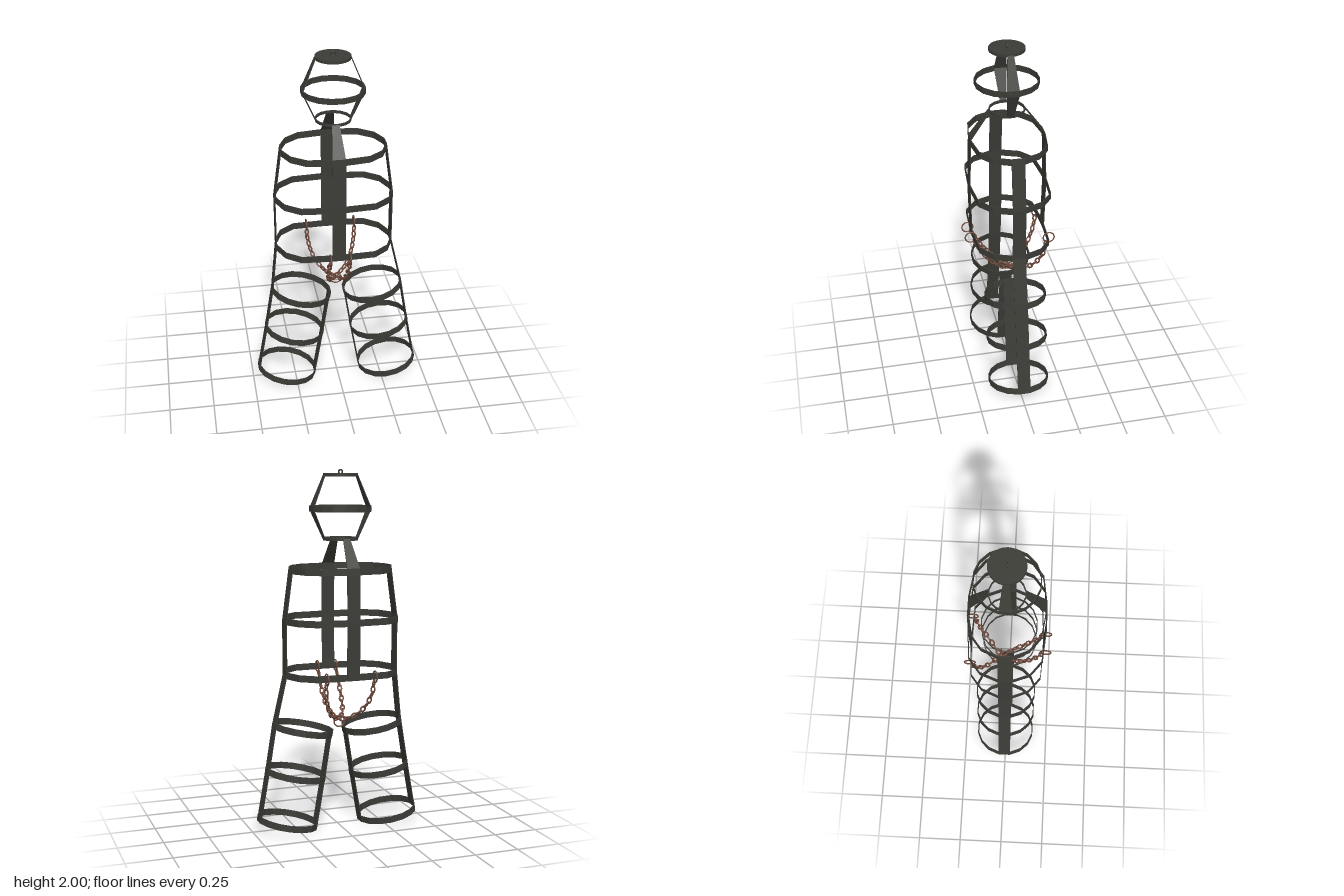
import * as THREE from 'three';
import { mergeGeometries } from 'three/addons/utils/BufferGeometryUtils.js';

const T = 0.005; // thickness of the iron bands
const CX = -0.018; // head and torso sit slightly to the right
const TILT = 0.173; // splay of the legs

const iron = new THREE.MeshStandardMaterial({ color: 0x3b3c36 });
iron.name = 'dark iron';
const rust = new THREE.MeshStandardMaterial({ color: 0x704a3c });
rust.name = 'rusty chain';

function add(parent, name, geometry, material = iron) {
  const mesh = new THREE.Mesh(geometry, material);
  mesh.name = name;
  parent.add(mesh);
  return mesh;
}

// 16-sided hoop from one quadrant of [x, z] corners
function hoop(quad, height) {
  const back = [...quad].reverse();
  const pts = [
    ...quad,
    ...back.map(([x, z]) => [-x, z]),
    ...quad.map(([x, z]) => [-x, -z]),
    ...back.map(([x, z]) => [x, -z]),
  ].map(([x, z]) => new THREE.Vector2(x, z));
  const shape = new THREE.Shape(pts);
  shape.holes.push(new THREE.Path(pts.map((p) => p.clone().multiplyScalar(1 - T / p.length()))));
  const g = new THREE.ExtrudeGeometry(shape, { depth: height, bevelEnabled: false });
  return g.translate(0, 0, -height / 2).rotateX(Math.PI / 2);
}

const roundQuad = (r) => [1, 3, 5, 7].map((k) => {
  const a = (k * Math.PI) / 16;
  return [r * Math.cos(a), r * Math.sin(a)];
});

// Flat strap through [distance out, y, half width], facing +x and then turned
function strap(sections, turn) {
  const pos = [];
  const idx = [];
  for (const [u, y, w] of sections) pos.push(u, y, w, u, y, -w, u - T, y, -w, u - T, y, w);
  const last = (sections.length - 1) * 4;
  for (let i = 0; i < last; i += 4) {
    for (let k = 0; k < 4; k++) {
      const a = i + k;
      const b = i + ((k + 1) % 4);
      idx.push(a, a + 4, b, b, a + 4, b + 4);
    }
  }
  idx.push(0, 1, 2, 0, 2, 3, last, last + 2, last + 1, last, last + 3, last + 2);
  const g = new THREE.BufferGeometry();
  g.setAttribute('position', new THREE.Float32BufferAttribute(pos, 3));
  g.setIndex(idx);
  const flat = g.toNonIndexed();
  flat.computeVertexNormals();
  return flat.rotateY(turn);
}

// Chain of alternating links along a curve
function chain(points) {
  const curve = new THREE.CatmullRomCurve3(points.map((p) => new THREE.Vector3(...p)));
  const count = Math.round(curve.getLength() / 0.034);
  const links = [];
  for (let i = 0; i < count; i++) {
    const t = (i + 0.5) / count;
    const up = curve.getTangentAt(t);
    const side = new THREE.Vector3(0.6, 0.2, 0.75).cross(up).normalize();
    const out = new THREE.Vector3().crossVectors(side, up);
    const m = new THREE.Matrix4().makeBasis(side, up, out);
    m.multiply(new THREE.Matrix4().makeRotationY(i % 2 ? Math.PI / 2 : 0));
    m.setPosition(curve.getPointAt(t));
    const link = new THREE.TorusGeometry(0.0115, 0.0047, 6, 12).scale(1, 1.5, 1);
    links.push(link.applyMatrix4(m));
  }
  return mergeGeometries(links);
}

export function createModel() {
  const model = new THREE.Group();
  model.name = 'hangingCage';
  const cage = new THREE.Group();
  cage.name = 'cage';
  cage.position.z = -0.006;
  model.add(cage);

  const body = new THREE.Group();
  body.name = 'headAndTorso';
  body.position.x = CX;
  cage.add(body);

  // Head: lid, hanging eye, two hoops and side straps
  add(body, 'headLid', new THREE.CylinderGeometry(0.096, 0.096, 0.016, 32)).position.y = 1.968;
  add(body, 'hangingEye', new THREE.TorusGeometry(0.011, 0.0045, 8, 16)).position.y = 1.9845;
  add(body, 'headHoop', hoop(roundQuad(0.173), 0.032)).position.y = 1.786;
  add(body, 'neckHoop', hoop(roundQuad(0.098), 0.016)).position.y = 1.622;
  const headStrap = [[0.096, 1.968, 0.017], [0.17, 1.786, 0.035], [0.096, 1.618, 0.017]];
  for (const turn of [0, Math.PI]) add(body, 'headStrap', strap(headStrap, turn));

  // Torso hoops
  const torso = [
    ['shoulderHoop', 1.456, [[0.287, 0.036], [0.248, 0.125], [0.17, 0.185], [0.036, 0.205]]],
    ['chestHoop', 1.181, [[0.326, 0.036], [0.288, 0.135], [0.205, 0.2], [0.036, 0.214]]],
    ['waistHoop', 0.882, [[0.325, 0.036], [0.286, 0.132], [0.205, 0.196], [0.036, 0.206]]],
  ];
  for (const [name, y, quad] of torso) add(body, name, hoop(quad, 0.037)).position.y = y;

  // Front and back straps, neck to waist
  const spine = [
    [0.097, 1.625, 0.02], [0.205, 1.474, 0.036], [0.207, 1.44, 0.037],
    [0.215, 1.181, 0.037], [0.207, 0.866, 0.037],
  ];
  add(body, 'frontStrap', strap(spine, -Math.PI / 2));
  add(body, 'backStrap', strap(spine, Math.PI / 2));

  // Sides and legs
  for (const s of [1, -1]) {
    const turn = s > 0 ? 0 : Math.PI;
    const d = s * CX;
    add(cage, 'sideStrap', strap([
      [0.288 + d, 1.474, 0.036], [0.328 + d, 1.181, 0.036], [0.327 + d, 0.88, 0.036],
      [0.373, 0.602, 0.036], [0.414, 0.35, 0.036], [0.466, 0.059, 0.036],
    ], turn));
    add(cage, 'innerLegStrap', strap([
      [-0.041, 0.56, 0.035], [-0.084, 0.29, 0.035], [-0.134, 0.002, 0.035],
    ], Math.PI - turn));
    const rings = [['thighHoop', 0.206, 0.573], ['kneeHoop', 0.249, 0.32], ['ankleHoop', 0.298, 0.048]];
    for (const [name, x, y] of rings) {
      const ring = add(cage, name, hoop(roundQuad(0.173), 0.036));
      ring.position.set(s * x, y, 0);
      ring.rotation.z = s * TILT;
    }
  }

  // Chains hung from the waist hoop, meeting at one ring
  const chains = new THREE.Group();
  chains.name = 'chains';
  model.add(chains);
  const wireRing = () => new THREE.TorusGeometry(0.031, 0.004, 6, 24);
  add(chains, 'joiningRing', wireRing(), rust).position.set(0.003, 0.607, -0.045);

  for (const x of [-0.066, 0.043]) {
    const ring = add(chains, 'frontHangingRing', wireRing(), rust);
    ring.position.set(x, 0.878, 0.212);
    ring.rotation.y = Math.PI / 2;
    add(chains, 'frontChain', chain([
      [x, 0.856, 0.195], [x * 1.02, 0.78, 0.155], [x * 0.95, 0.705, 0.1],
      [x * 0.65, 0.645, 0.03], [0, 0.62, -0.04],
    ]), rust);
  }
  for (const x of [-0.144, 0.135]) {
    const ring = add(chains, 'backHangingRing', wireRing(), rust);
    ring.position.set(x, 0.88, -0.212);
    ring.rotation.y = Math.PI / 2;
    add(chains, 'backChain', chain([
      [x, 0.856, -0.2], [x * 0.95, 0.78, -0.185], [x * 0.78, 0.705, -0.15],
      [x * 0.45, 0.645, -0.1], [0, 0.617, -0.05],
    ]), rust);
  }
  return model;
}
